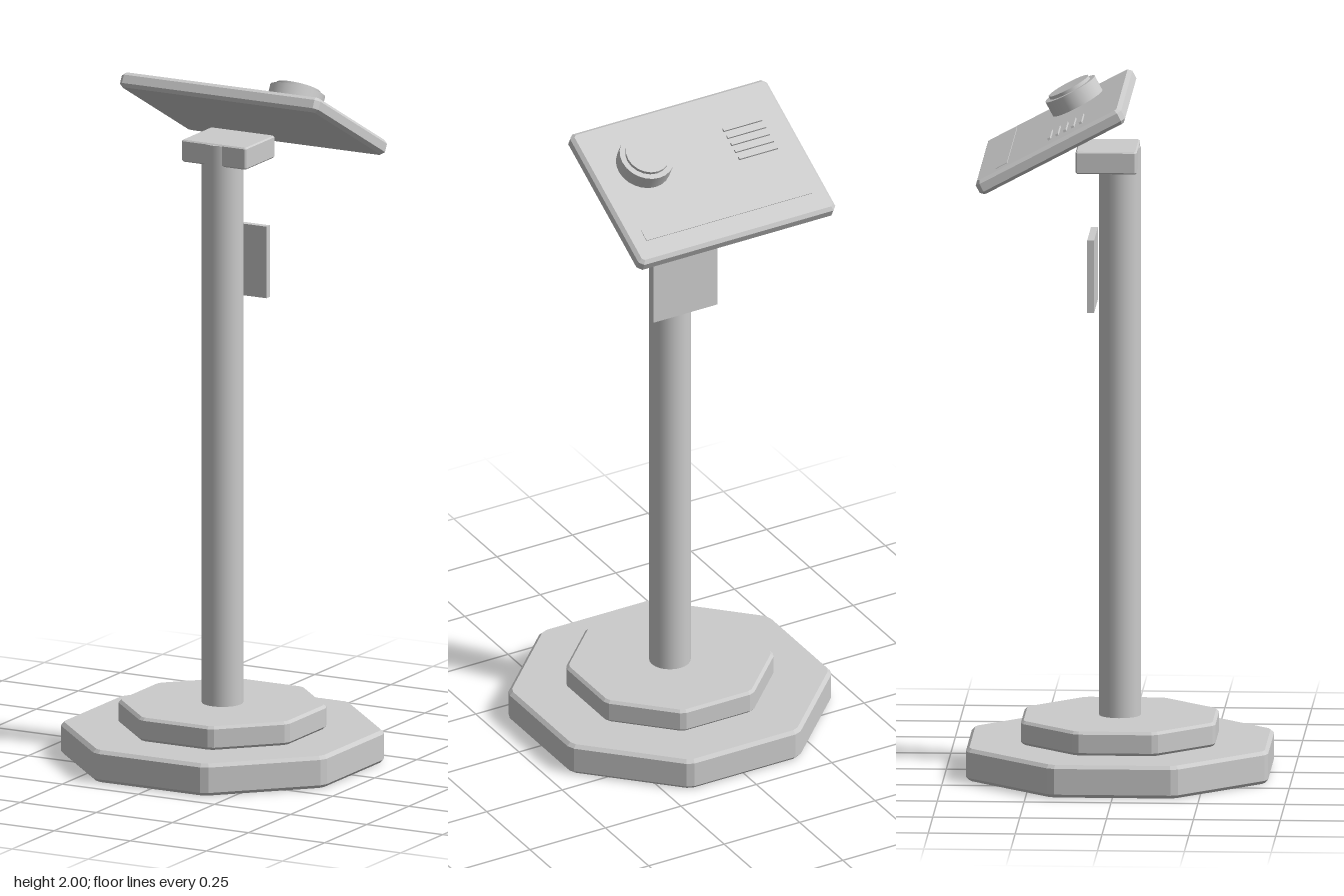
import * as THREE from 'three';

const material = new THREE.MeshStandardMaterial({ color: 0xcccccc });
const flatMaterial = new THREE.MeshStandardMaterial({ color: 0xcccccc, flatShading: true });

function addMesh(parent, name, geometry, x, y, z, mat = flatMaterial) {
  const mesh = new THREE.Mesh(geometry, mat);
  mesh.name = name;
  mesh.position.set(x, y, z);
  parent.add(mesh);
  return mesh;
}

// Upright prism, centred, with every edge and corner chamfered by b
function chamferedPrism(corners, height, b) {
  const points = [];
  corners.forEach((p, i) => {
    const prev = corners[(i + corners.length - 1) % corners.length];
    const next = corners[(i + 1) % corners.length];
    for (const q of [prev, next]) {
      points.push(p.clone().add(q.clone().sub(p).setLength(b * 1.3)));
    }
  });
  const geometry = new THREE.ExtrudeGeometry(new THREE.Shape(points), {
    depth: height - 2 * b, bevelEnabled: true, bevelSegments: 1,
    bevelSize: b, bevelOffset: -b, bevelThickness: b,
  });
  geometry.translate(0, 0, b - height / 2);
  return geometry.rotateX(-Math.PI / 2);
}

function chamferedBox(w, h, d, b) {
  const corners = [[-1, -1], [1, -1], [1, 1], [-1, 1]]
    .map(([x, y]) => new THREE.Vector2(x * w / 2, y * d / 2));
  return chamferedPrism(corners, h, b);
}

function octagon(apothem, height, b) {
  const radius = apothem / Math.cos(Math.PI / 8);
  const corners = Array.from({ length: 8 }, (_, i) => {
    const a = (i + 0.5) * Math.PI / 4;
    return new THREE.Vector2(radius * Math.cos(a), radius * Math.sin(a));
  });
  return chamferedPrism(corners, height, b);
}

export function createModel() {
  const model = new THREE.Group();
  model.name = 'controlPedestal';

  // Stepped octagonal foot
  addMesh(model, 'baseLower', octagon(0.435, 0.095, 0.01), 0, 0.0475, 0);
  addMesh(model, 'baseUpper', octagon(0.28, 0.07, 0.008), 0, 0.13, 0);

  // Round post with a bracket at its top and a plate behind it
  addMesh(model, 'post', new THREE.CylinderGeometry(0.06, 0.06, 1.68, 24), 0, 0.985, 0, material);
  addMesh(model, 'bracket', chamferedBox(0.212, 0.065, 0.176, 0.004), 0, 1.796, -0.035);
  addMesh(model, 'rearPlate', new THREE.BoxGeometry(0.212, 0.212, 0.02), 0, 1.464, -0.079);

  // Control panel sloping down towards the back
  const panel = new THREE.Group();
  panel.name = 'controlPanel';
  panel.position.set(0, 1.867, -0.184);
  panel.rotation.x = -THREE.MathUtils.degToRad(28);
  model.add(panel);
  const top = 0.0225;
  addMesh(panel, 'panelSlab', chamferedBox(0.652, 2 * top, 0.474, 0.01), 0, 0, 0);
  addMesh(panel, 'panelStrip', new THREE.BoxGeometry(0.548, 0.004, 0.038), 0, top, -0.15);

  // Raised grille bars
  for (let i = 0; i < 5; i++) {
    addMesh(panel, 'grilleBar', new THREE.BoxGeometry(0.127, 0.012, 0.009), -0.182, top, 0.005 + i * 0.0255);
  }

  // Two-step button
  const button = new THREE.Group();
  button.name = 'button';
  button.position.set(0.163, top, 0.073);
  panel.add(button);
  addMesh(button, 'buttonRing', new THREE.CylinderGeometry(0.081, 0.081, 0.05, 24), 0, 0.022, 0, material);
  addMesh(button, 'buttonCap', new THREE.CylinderGeometry(0.065, 0.065, 0.03, 20), 0, 0.042, 0, material);

  return model;
}
